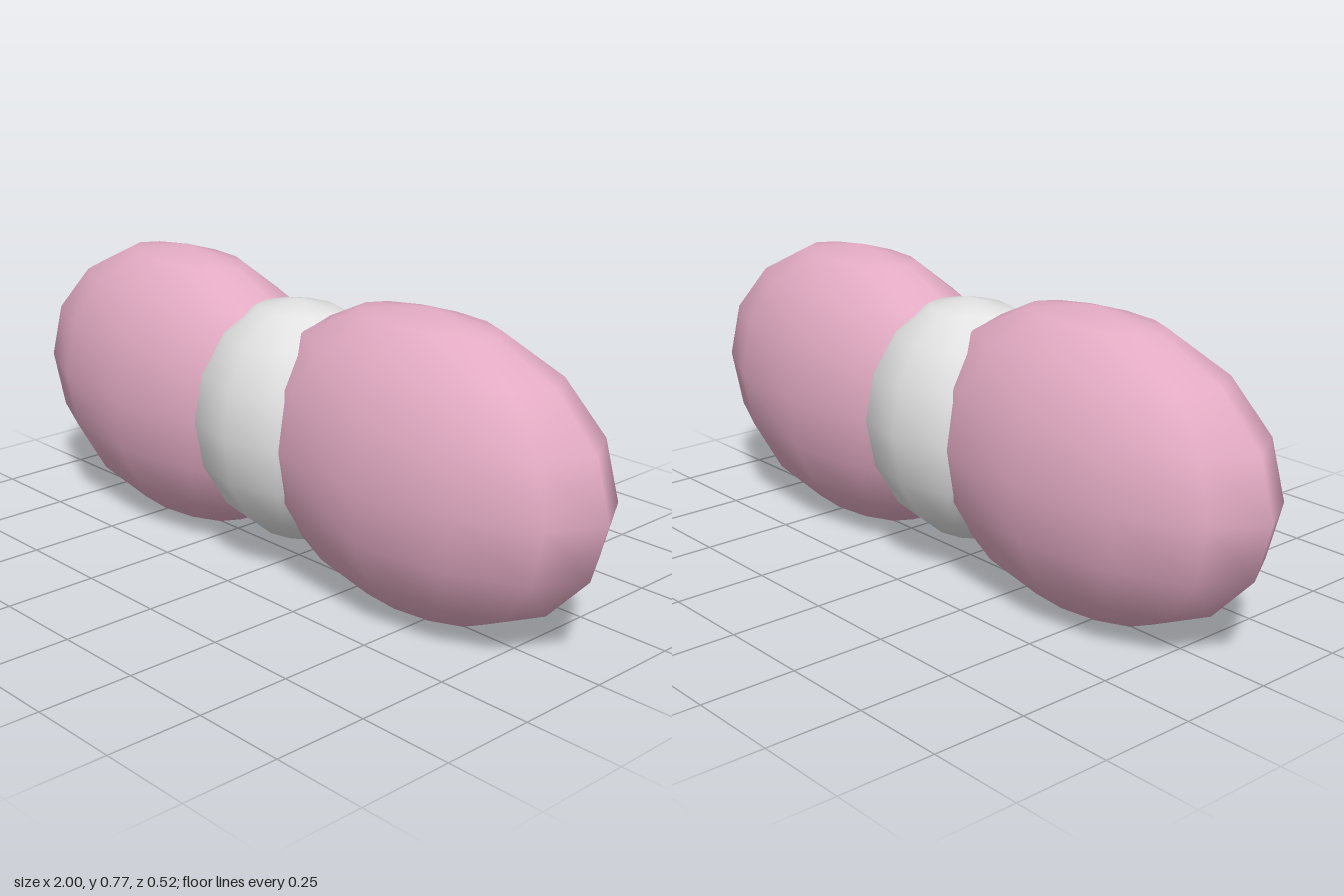
import * as THREE from 'three';

export function createModel() {
  const group = new THREE.Group();
  const pink = new THREE.MeshStandardMaterial({ color: 0xe4acc4 });
  pink.name = 'pink';
  const paleGrey = new THREE.MeshStandardMaterial({ color: 0xe2e2e2 });
  paleGrey.name = 'pale grey';

  // smooth-shaded low-poly ellipsoid, centred at mid height
  const ellipsoid = (name, material, x, rx, ry, rz) => {
    const geometry = new THREE.SphereGeometry(1, 12, 8).scale(rx, ry, rz);
    const mesh = new THREE.Mesh(geometry, material);
    mesh.name = name;
    mesh.position.set(x, 0.386, 0);
    group.add(mesh);
  };

  // two bow loops, mirrored
  for (const side of [1, -1]) {
    ellipsoid(side > 0 ? 'leftLoop' : 'rightLoop', pink, side * 0.45, 0.55, 0.386, 0.258);
  }

  // centre knot
  ellipsoid('knot', paleGrey, 0, 0.31, 0.321, 0.257);

  return group;
}
